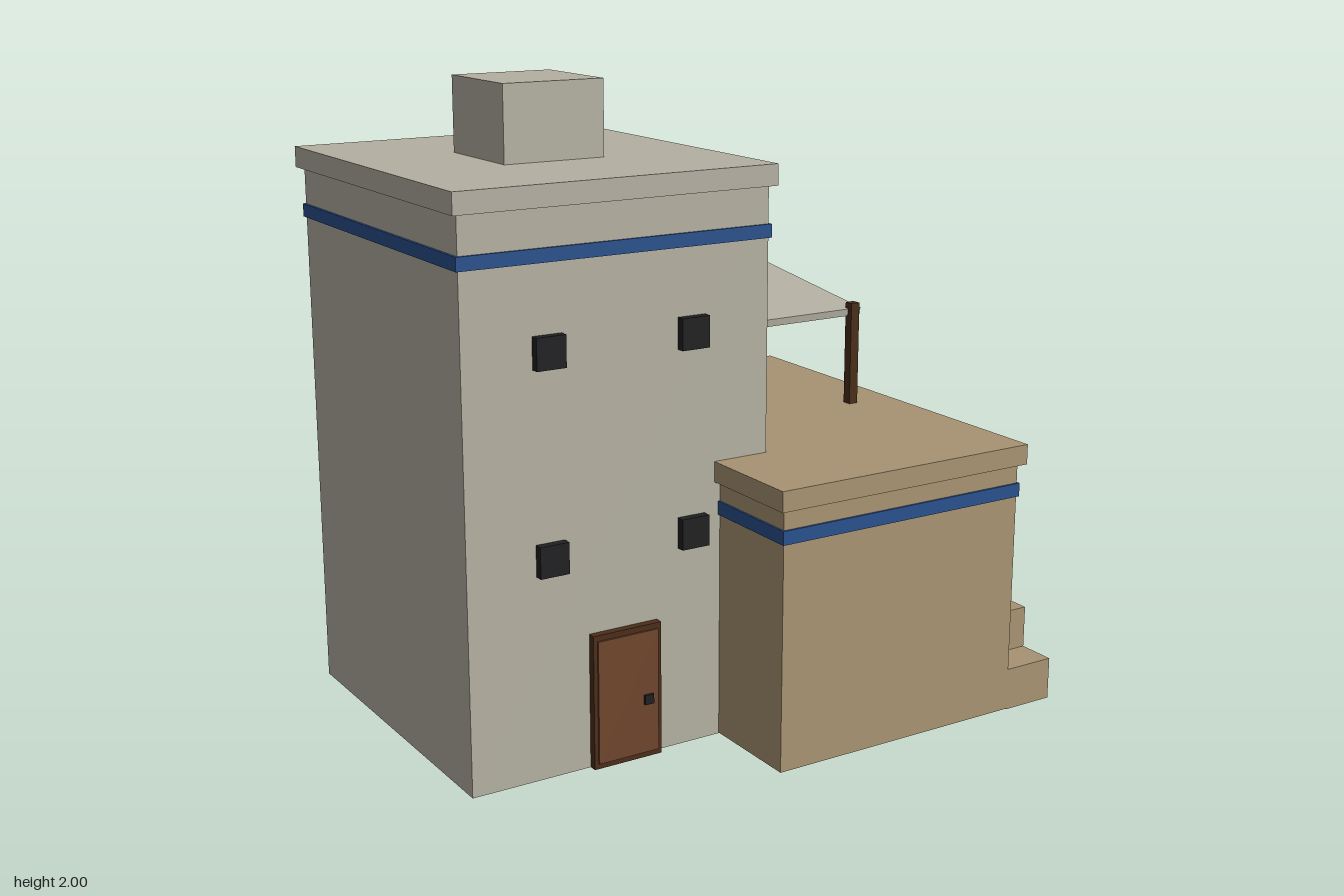
import * as THREE from 'three';

const material = (name, color) => {
  const m = new THREE.MeshStandardMaterial({ color });
  m.name = name;
  return m;
};

export function createModel() {
  const model = new THREE.Group();
  const plaster = material('grey plaster', 0xb3afa1);
  const sand = material('sand plaster', 0xa89373);
  const blue = material('blue paint', 0x29508c);
  const wood = material('door wood', 0x6e452b);
  const darkWood = material('dark wood', 0x4a2d19);
  const black = material('black', 0x202022);

  // Box given by its extents along each axis
  const box = (name, mat, [x0, x1], [y0, y1], [z0, z1], parent = model) => {
    const mesh = new THREE.Mesh(new THREE.BoxGeometry(x1 - x0, y1 - y0, z1 - z0), mat);
    mesh.position.set((x0 + x1) / 2, (y0 + y1) / 2, (z0 + z1) / 2);
    mesh.name = name;
    parent.add(mesh);
    return mesh;
  };

  // Tower with painted band, overhanging roof and roof hatch
  box('tower', plaster, [-0.943, 0.07], [0, 1.7], [-0.713, 0.377]);
  box('towerBand', blue, [-0.951, 0.078], [1.545, 1.586], [-0.72, 0.384]);
  box('towerRoof', plaster, [-0.963, 0.09], [1.7, 1.765], [-0.735, 0.397]);
  box('roofHatch', plaster, [-0.605, -0.27], [1.765, 2], [-0.337, 0]);

  // Lower annex
  box('annex', sand, [-0.096, 0.785], [0.002, 0.82], [-0.644, 0.713]);
  box('annexBand', blue, [-0.102, 0.791], [0.715, 0.758], [-0.65, 0.72]);
  box('annexRoof', sand, [-0.116, 0.805], [0.82, 0.884], [-0.664, 0.734]);

  // Outside stairs: one stepped profile extruded across the flight
  const steps = 6, front = 0.713, back = -0.034, top = 0.818;
  const run = (front - back) / steps, rise = top / steps;
  const profile = new THREE.Shape().moveTo(-front, 0);
  for (let i = 0; i < steps; i++) {
    profile.lineTo(-front + i * run, (i + 1) * rise);
    profile.lineTo(-front + (i + 1) * run, (i + 1) * rise);
  }
  profile.lineTo(-back, 0);
  const stairs = new THREE.Mesh(
    new THREE.ExtrudeGeometry(profile, { depth: 0.175, bevelEnabled: false }), sand);
  stairs.rotation.y = Math.PI / 2;
  stairs.position.x = 0.785;
  stairs.name = 'stairs';
  model.add(stairs);

  // Sloping awning and its post
  const awning = box('awning', plaster, [0.03, 0.682], [1.213, 1.237], [-0.507, 0.033]);
  awning.rotation.x = 0.122;
  box('awningPost', darkWood, [0.632, 0.664], [0.86, 1.225], [0.018, 0.05]);

  // Windows
  for (const x of [-0.675, -0.198])
    for (const y of [0.682, 1.292])
      box('window', black, [x - 0.047, x + 0.047], [y - 0.048, y + 0.048], [0.36, 0.404]);

  // Door
  const door = new THREE.Group();
  door.name = 'door';
  model.add(door);
  box('doorFrame', darkWood, [-0.552, -0.32], [0, 0.424], [0.36, 0.402], door);
  box('doorPanel', wood, [-0.539, -0.333], [0.018, 0.406], [0.39, 0.408], door);
  box('doorKnob', black, [-0.384, -0.354], [0.175, 0.205], [0.4, 0.417], door);

  return model;
}
